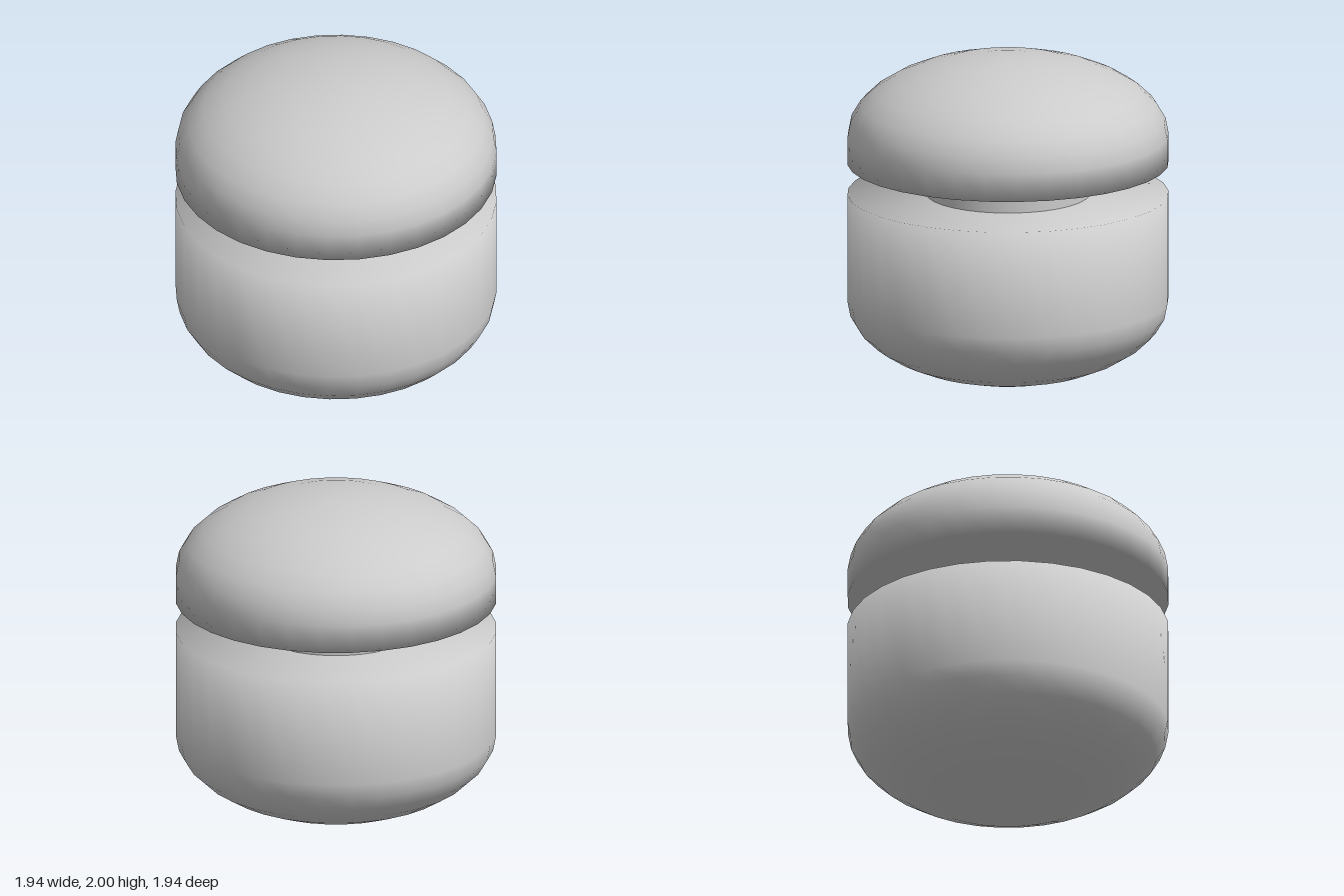
import * as THREE from 'three';
import { mergeVertices } from 'three/addons/utils/BufferGeometryUtils.js';

const SIDES = 32;
const RADIUS = 0.97;
const DOME = 0.49; // height of each rounded end
const STEPS = 8;

const material = new THREE.MeshStandardMaterial({ color: 0xcccccc });

function addMesh(group, name, geometry) {
  const mesh = new THREE.Mesh(geometry, material);
  mesh.name = name;
  group.add(mesh);
  return mesh;
}

// Lathe whose normals are shared across the rims, for a fully smooth surface
function smoothLathe(profile) {
  const geometry = new THREE.LatheGeometry(profile, SIDES);
  geometry.deleteAttribute('uv');
  geometry.deleteAttribute('normal');
  const merged = mergeVertices(geometry, 1e-4);
  merged.computeVertexNormals();
  return merged;
}

// Quarter ellipse from the rim (i = 0) to the pole, dir = 1 up or -1 down
function domeProfile(y, dir) {
  const points = [];
  for (let i = 0; i <= STEPS; i++) {
    const a = (i / STEPS) * Math.PI / 2;
    const r = i === STEPS ? 0 : RADIUS * Math.cos(a);
    points.push(new THREE.Vector2(r, y + dir * DOME * Math.sin(a)));
  }
  return points;
}

export function createModel() {
  const group = new THREE.Group();
  group.name = 'roundedButton';

  // Body: rounded bottom, straight wall, flat top
  addMesh(group, 'body', smoothLathe([
    ...domeProfile(DOME, -1).reverse(),
    new THREE.Vector2(RADIUS, 1.15),
    new THREE.Vector2(0, 1.15),
  ]));

  // Neck joining body and cap
  const neck = addMesh(group, 'neck', new THREE.CylinderGeometry(0.495, 0.495, 0.19, SIDES, 1, true));
  neck.position.y = 1.245;

  // Cap: flat underside, short wall, domed top
  addMesh(group, 'cap', smoothLathe([
    new THREE.Vector2(0, 1.34),
    new THREE.Vector2(RADIUS, 1.34),
    ...domeProfile(2 - DOME, 1),
  ]));

  return group;
}
